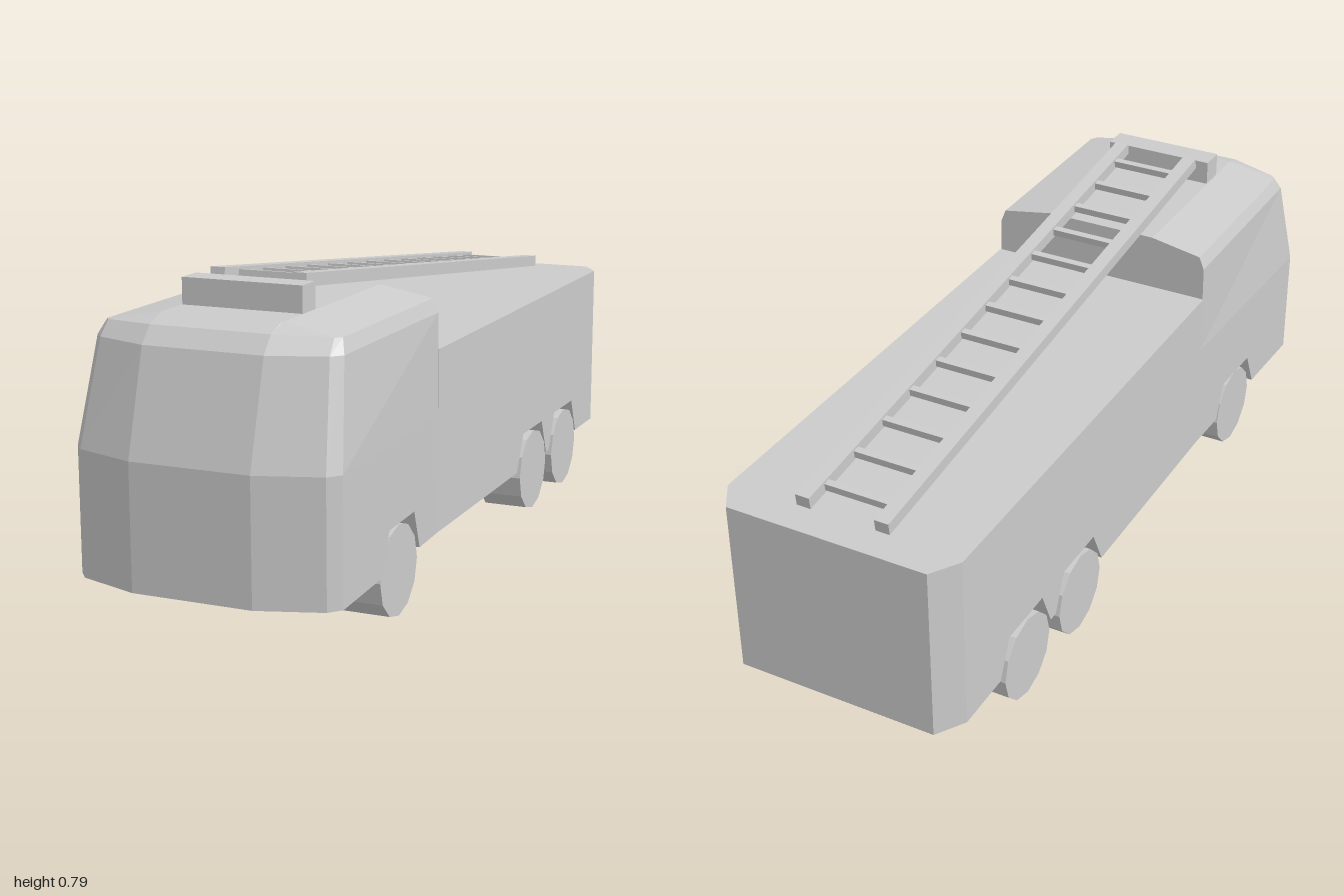
import * as THREE from 'three';

const grey = new THREE.MeshStandardMaterial({ color: 0xcccccc, flatShading: true });

function addMesh(parent, name, geometry, x = 0, y = 0, z = 0) {
  const mesh = new THREE.Mesh(geometry, grey);
  mesh.name = name;
  mesh.position.set(x, y, z);
  parent.add(mesh);
  return mesh;
}

// Closed solid from stacked rings; each ring lists its +x half from front to back.
function loft(halfRings) {
  const rings = halfRings.map(h => [...h, ...h.map(([x, y, z]) => [-x, y, z]).reverse()]);
  const n = rings[0].length, last = rings.length - 1;
  const tris = [];
  const middle = r => [0, 1, 2].map(k => r.reduce((s, p) => s + p[k], 0) / n);
  const low = middle(rings[0]), high = middle(rings[last]);
  for (let i = 0; i < n; i++) {
    const j = (i + 1) % n;
    for (let k = 0; k < last; k++) {
      const a = rings[k], b = rings[k + 1];
      tris.push(a[i], a[j], b[j], a[i], b[j], b[i]);
    }
    tris.push(rings[last][i], rings[last][j], high);
    tris.push(rings[0][j], rings[0][i], low);
  }
  const g = new THREE.BufferGeometry();
  g.setAttribute('position', new THREE.Float32BufferAttribute(tris.flat(), 3));
  g.computeVertexNormals();
  return g;
}

const FLOOR = 0.128, ARCH = 0.225, SPLIT = 0.325;
const halfWidth = z => 0.3 + 0.02 * Math.max(0, z - SPLIT) / 0.595;
const at = (y, pts) => pts.map(([x, z]) => [x, y, z]);
const nose = [[0.145, 1], [0.295, 0.95], [0.32, 0.92]];
const tail = [[0.3, -0.93], [0.255, -1]];
const side = z => [halfWidth(z), z];

export function createModel() {
  const model = new THREE.Group();
  model.name = 'fireTruck';

  // Lower body: full-width blocks with slanted ends that leave the wheel arches open
  const skirt = (name, low, high) => addMesh(model, name, loft([at(FLOOR, low), at(ARCH, high)]));
  skirt('frontSkirt', [...nose, side(0.694)], [...nose, side(0.65)]);
  skirt('middleSkirt', [side(0.453), side(SPLIT), side(-0.255)], [side(0.49), side(SPLIT), side(-0.303)]);
  skirt('axleSkirt', [side(-0.503), side(-0.528)], [side(-0.46), side(-0.571)]);
  skirt('rearSkirt', [side(-0.775), ...tail], [side(-0.732), ...tail]);

  // Inner walls of the wheel arches
  for (const [front, back] of [[0.694, 0.453], [-0.255, -0.503], [-0.528, -0.775]]) {
    addMesh(model, 'archCore', new THREE.BoxGeometry(0.37, ARCH - FLOOR, front - back),
      0, (FLOOR + ARCH) / 2, (front + back) / 2);
  }

  // Rear body with chamfered back corners
  const deck = [[0.3, SPLIT], ...tail];
  addMesh(model, 'rearBody', loft([at(ARCH, deck), at(0.575, deck)]));

  // Cab: upright below the windscreen, then leaning in to a shallow crowned roof
  const cabPlan = [...nose, [0.3, SPLIT]];
  addMesh(model, 'cab', loft([
    at(ARCH, cabPlan),
    at(0.422, cabPlan),
    at(0.662, [[0.145, 0.93], [0.275, 0.885], [0.297, 0.86], [0.297, SPLIT]]),
    [[0.145, 0.701, 0.895], [0.272, 0.696, 0.855], [0.284, 0.695, 0.838], [0.284, 0.695, SPLIT]],
    at(0.719, [[0.145, 0.842], [0.147, 0.838], [0.149, 0.834], [0.149, SPLIT]]),
  ]));

  // Light bar on the cab roof
  addMesh(model, 'lightBar', new THREE.BoxGeometry(0.295, 0.068, 0.065), 0, 0.747, 0.713);

  // Ladder sloping from the cab roof down to the tail
  const ladder = new THREE.Group();
  ladder.name = 'ladder';
  ladder.position.set(0, 0.687, -0.131);
  ladder.rotation.x = -0.1155;
  model.add(ladder);
  for (const s of [1, -1]) {
    addMesh(ladder, 'ladderRail', new THREE.BoxGeometry(0.036, 0.03, 1.603), s * 0.101, 0, 0);
  }
  for (let i = 0; i < 13; i++) {
    addMesh(ladder, 'ladderRung', new THREE.BoxGeometry(0.17, 0.018, 0.018), 0, 0, -0.732 + i * 0.1213);
  }

  // Wheels
  const wheel = new THREE.CylinderGeometry(0.109, 0.109, 0.116, 12).rotateZ(Math.PI / 2);
  for (const z of [0.575, -0.38, -0.65]) {
    for (const s of [1, -1]) addMesh(model, 'wheel', wheel, s * 0.245, 0.109, z);
  }
  return model;
}
